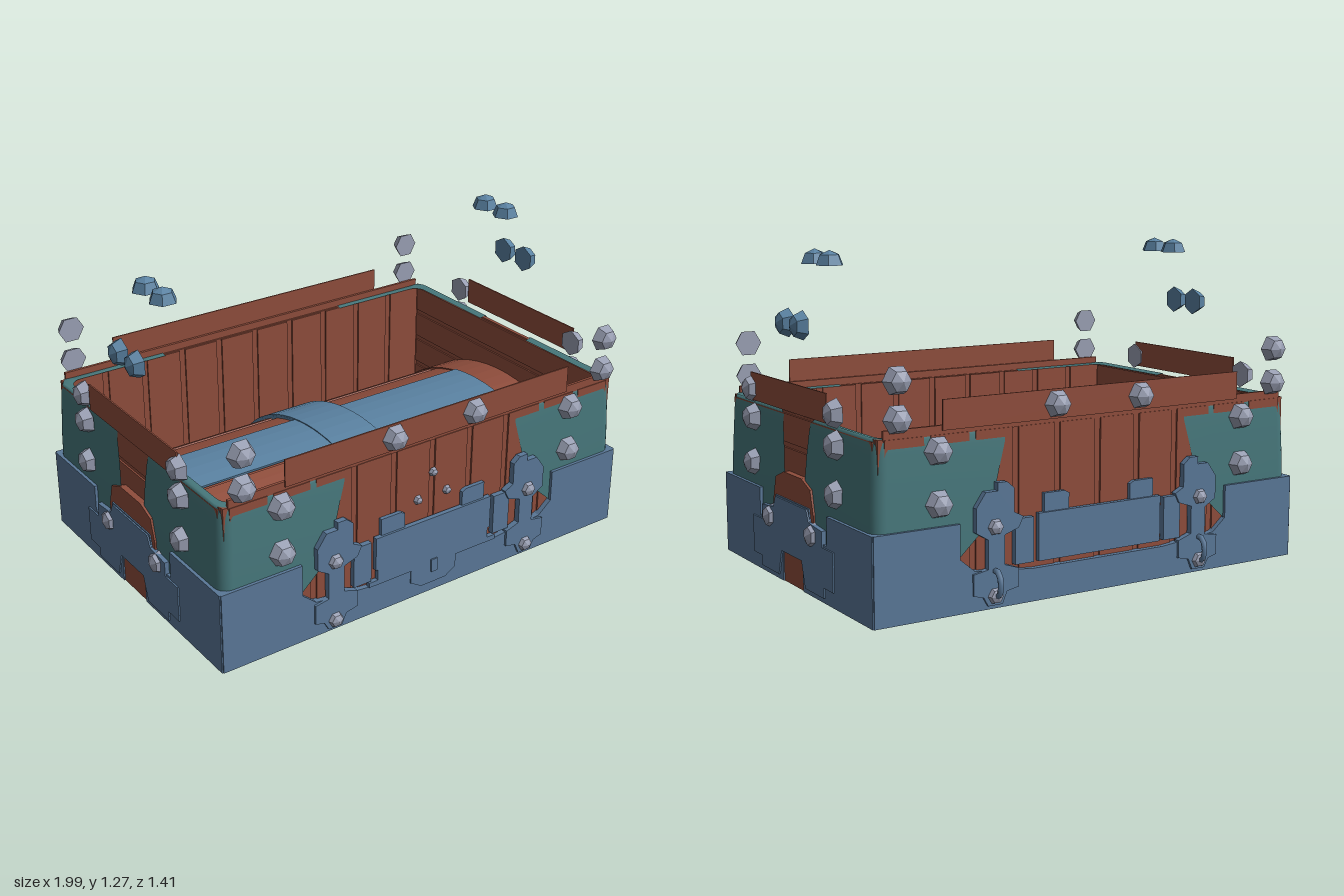
import * as THREE from 'three';

const mat = (name, color, side = THREE.FrontSide) => {
  const m = new THREE.MeshStandardMaterial({ color, side });
  m.name = name;
  return m;
};

export function createModel() {
  const wood = mat('red wood', 0x8f4d3c);
  const steel = mat('blue steel', 0x5a7898);
  const strapSteel = mat('strap blue', 0x5a82a2);
  const teal = mat('teal metal', 0x47787c, THREE.DoubleSide);
  const grey = mat('rivet grey', 0x9aa0b4);
  const chest = new THREE.Group();
  chest.name = 'openChest';

  const add = (name, geo, material) => {
    const m = new THREE.Mesh(geo, material);
    m.name = name;
    chest.add(m);
    return m;
  };
  const box = (name, material, w, h, d, x, y, z) =>
    add(name, new THREE.BoxGeometry(w, h, d).translate(x, y, z), material);
  // flat outline [u, y] standing at a distance from the centre, turned to one of four sides
  const plate = (name, material, pts, turn, dist, depth) => {
    const shape = new THREE.Shape(pts.map(p => new THREE.Vector2(p[0], p[1])));
    const geo = new THREE.ExtrudeGeometry(shape, { depth, bevelEnabled: false });
    return add(name, geo.translate(0, 0, dist).rotateY(turn * Math.PI / 2), material);
  };
  const mirrored = half => [...half, ...half.map(([u, y]) => [-u, y]).reverse()];

  // wooden walls with raised planks on both faces
  for (const s of [-1, 1]) {
    box('longWall', wood, 1.84, 0.655, 0.016, 0, 0.33, s * 0.624);
    for (let i = -5; i < 5; i++) {
      box('wallPlank', wood, 0.155, 0.65, 0.03, (i + 0.5) * 0.182, 0.33, s * 0.624);
    }
    box('endWall', wood, 0.016, 0.655, 1.23, s * 0.915, 0.33, 0);
    for (let i = 0; i < 5; i++) {
      box('endBoard', wood, 0.03, 0.11, 1.22, s * 0.915, 0.07 + i * 0.131, 0);
    }
    // loose rim strips above the walls
    box('longRimStrip', wood, 1.34, 0.11, 0.006, 0, 0.725, s * 0.643);
    box('endRimStrip', wood, 0.006, 0.11, 0.68, s * 0.95, 0.725, 0.04);
    box('rimLedge', wood, 1.8, 0.035, 0.012, 0, 0.67, s * 0.63);
  }

  // steel base: front and back sheets, stepped end sheets
  const longSheet = mirrored([[0.955, 0], [0.955, 0.33], [0.61, 0.33], [0.61, 0.2], [0.55, 0.15], [0.3, 0.125]]);
  const endSheet = mirrored([[0.655, 0], [0.655, 0.33], [0.3, 0.33], [0.3, 0.22], [0.27, 0.22],
    [0.27, 0.27], [0.16, 0.28], [0.15, 0.33]]);
  endSheet.push([-0.09, 0], [-0.09, 0.07], [-0.085, 0.12], [0.085, 0.12], [0.09, 0.07], [0.09, 0]);
  const endPlate = mirrored([[0.28, 0.02], [0.28, 0.06], [0.36, 0.06], [0.36, 0.21], [0.27, 0.21],
    [0.27, 0.27], [0.16, 0.28], [0.14, 0.325]]);
  endPlate.push([-0.12, 0.02], [-0.09, 0.12], [0.09, 0.12], [0.12, 0.02]);
  for (const turn of [0, 2]) plate('longBaseSheet', steel, longSheet, turn, 0.632, 0.028);
  for (const turn of [1, 3]) {
    plate('endBaseSheet', steel, endSheet, turn, 0.93, 0.03);
    plate('endBasePlate', steel, endPlate, turn, 0.96, 0.006);
    plate('endWoodBlock', wood, mirrored([[0.18, 0.27], [0.18, 0.31], [0.155, 0.4], [0.08, 0.43]]), turn, 0.925, 0.03);
    plate('endWoodFoot', wood, mirrored([[0.12, 0], [0.12, 0.05], [0.085, 0.12]]), turn, 0.925, 0.03);
  }

  // teal corner shells wrapped round each corner, tapering upward
  // each row: height, front edge x, side edge z, outer x, outer z
  const rows = [[0.2, 0.61, 0.12, 0.948, 0.648], [0.3, 0.5, 0.1, 0.948, 0.648], [0.42, 0.46, 0.09, 0.945, 0.646],
    [0.52, 0.435, 0.1, 0.94, 0.643], [0.61, 0.41, 0.115, 0.935, 0.64],
    [0.645, 0.41, 0.12, 0.93, 0.637], [0.662, 0.45, 0.15, 0.925, 0.633], [0.655, 0.45, 0.15, 0.895, 0.603]];
  const cornerShell = (sx, sz) => {
    const pos = [], idx = [], arc = 6, n = arc + 3, r = 0.05;
    for (const [y, fx, ez, ox, oz] of rows) {
      pos.push(sx * fx, y, sz * oz);
      for (let i = 0; i <= arc; i++) {
        const a = Math.PI / 2 * (1 - i / arc);
        pos.push(sx * (ox - r + r * Math.cos(a)), y, sz * (oz - r + r * Math.sin(a)));
      }
      pos.push(sx * ox, y, sz * ez);
    }
    for (let j = 0; j < rows.length - 1; j++) {
      for (let i = 0; i < n - 1; i++) {
        const a = j * n + i, b = a + 1, c = a + n, d = c + 1;
        if (sx * sz > 0) idx.push(a, b, d, a, d, c);
        else idx.push(a, d, b, a, c, d);
      }
    }
    const g = new THREE.BufferGeometry();
    g.setAttribute('position', new THREE.Float32BufferAttribute(pos, 3));
    g.setIndex(idx);
    g.computeVertexNormals();
    add('cornerShell', g, teal);
  };
  for (const sx of [-1, 1]) for (const sz of [-1, 1]) cornerShell(sx, sz);

  // hinges and lock plates on the long sides
  const hinge = [[0.39, 0.44], [0.42, 0.465], [0.46, 0.465], [0.46, 0.435], [0.51, 0.435], [0.55, 0.38], [0.55, 0.29],
    [0.5, 0.26], [0.5, 0.15], [0.56, 0.14], [0.56, 0.06], [0.52, 0.05], [0.5, 0.015], [0.44, 0.015],
    [0.42, 0.06], [0.37, 0.07], [0.37, 0.14], [0.43, 0.16], [0.43, 0.27], [0.37, 0.29], [0.35, 0.33], [0.39, 0.35]];
  const lock = mirrored([[0.06, 0.04], [0.11, 0.07], [0.11, 0.125], [0.31, 0.125], [0.31, 0.145], [0.27, 0.145],
    [0.27, 0.19], [0.28, 0.19], [0.28, 0.33]]);
  const bar = mirrored([[0.28, 0.15], [0.28, 0.33]]);
  for (const turn of [0, 2]) {
    for (const s of [-1, 1]) {
      plate('hinge', steel, hinge.map(([u, y]) => [s * u, y]), turn, 0.645, 0.025);
      plate('lockArm', steel, [[0.3, 0.15], [0.38, 0.15], [0.38, 0.32], [0.3, 0.32]].map(([u, y]) => [s * u, y]),
        turn, 0.64, 0.022);
      plate('lockTab', steel, [[0.14, 0.32], [0.14, 0.39], [0.16, 0.4], [0.25, 0.4], [0.25, 0.32]]
        .map(([u, y]) => [s * u, y]), turn, 0.64, 0.016);
    }
    plate('lockPlate', steel, turn ? bar : lock, turn, 0.645, 0.02);
  }
  plate('keyhole', steel, [[-0.015, 0.09], [0.015, 0.09], [0.015, 0.145], [-0.015, 0.145]], 0, 0.665, 0.006);
  // pull rings at the back
  for (const s of [-1, 1]) {
    add('pullRing', new THREE.TorusGeometry(0.05, 0.012, 6, 10).scale(0.65, 1, 1).rotateY(Math.PI / 2)
      .translate(s * 0.47, 0.095, -0.675), steel);
  }

  // sunken barrel lid: arched strips along x
  const arch = (name, material, x0, x1, lift, thick, a0 = 0, a1 = Math.PI) => {
    const n = Math.max(3, Math.ceil((a1 - a0) * 9)), out = [], inn = [];
    for (let i = 0; i <= n; i++) {
      const a = a0 + (a1 - a0) * i / n, c = Math.cos(a), s = Math.sin(a);
      out.push([(0.585 + lift) * c, (0.44 + lift) * s]);
      inn.push([(0.585 + lift - thick) * c, (0.44 + lift - thick) * s]);
    }
    plate(name, material, [...out, ...inn.reverse()], 1, x0, x1 - x0);
  };
  arch('lidSkin', wood, -0.9, 0.9, 0, 0.012);
  for (const s of [-1, 1]) {
    arch('lidEndBand', wood, s * 0.825 - 0.075, s * 0.825 + 0.075, 0.015, 0.05);
    arch('strapEdge', strapSteel, s * 0.108 - 0.005, s * 0.108 + 0.005, 0.02, 0.04);
  }
  for (const [a, b] of [[0.03, 0.28], [0.36, 0.68], [0.74, 1.02], [1.1, 1.34]]) {
    arch('lidSlat', wood, -0.75, 0.75, 0.01, 0.035, a, b);
    arch('lidSlat', wood, -0.75, 0.75, 0.01, 0.035, Math.PI - b, Math.PI - a);
  }
  arch('lidCrossStrap', strapSteel, -0.112, 0.112, 0.026, 0.012);
  arch('lidLongStrap', strapSteel, -0.75, 0.75, 0.022, 0.01, 1.35, Math.PI - 1.35);

  // domed rivets, six sided
  const up = new THREE.Vector3(0, 1, 0);
  const rivet = (material, r, x, y, z, dir) => {
    const dome = new THREE.SphereGeometry(r, 6, 2, 0, Math.PI * 2, 0, Math.PI / 2).toNonIndexed();
    dome.computeVertexNormals();
    const base = new THREE.CircleGeometry(r, 6).rotateX(Math.PI / 2);
    const q = new THREE.Quaternion().setFromUnitVectors(up, new THREE.Vector3(...dir));
    for (const g of [dome, base]) {
      const m = add('rivet', g, material);
      m.quaternion.copy(q);
      m.position.set(x, y, z);
    }
  };
  for (const sx of [-1, 1]) {
    for (const sz of [-1, 1]) {
      for (const [x, y] of [[0.85, 0.86], [0.85, 0.725], [0.19, 0.725], [0.69, 0.6], [0.69, 0.41]]) {
        rivet(grey, 0.056, sx * x, y, sz * 0.642, [0, 0, sz]);
      }
      for (const y of [0.305, 0.05]) rivet(grey, 0.036, sx * 0.47, y, sz * 0.66, [0, 0, sz]);
      for (const y of [0.715, 0.6, 0.42]) rivet(grey, 0.056, sx * 0.938, y, 0.01 + sz * 0.367, [sx, 0, 0]);
      rivet(grey, 0.05, sx * 0.945, 0.235, 0.01 + sz * 0.19, [sx, 0, 0]);
      rivet(strapSteel, 0.056, sx * 0.922, 1.0, 0.01 + sz * 0.064, [sx, 0, 0]);
      rivet(strapSteel, 0.056, sx * 0.81, 1.218, 0.01 + sz * 0.064, [0, 1, 0]);
    }
  }
  for (const [x, y] of [[0, 0.52], [-0.07, 0.42], [0.07, 0.42]]) rivet(grey, 0.02, x, y, 0.642, [0, 0, 1]);
  return chest;
}
